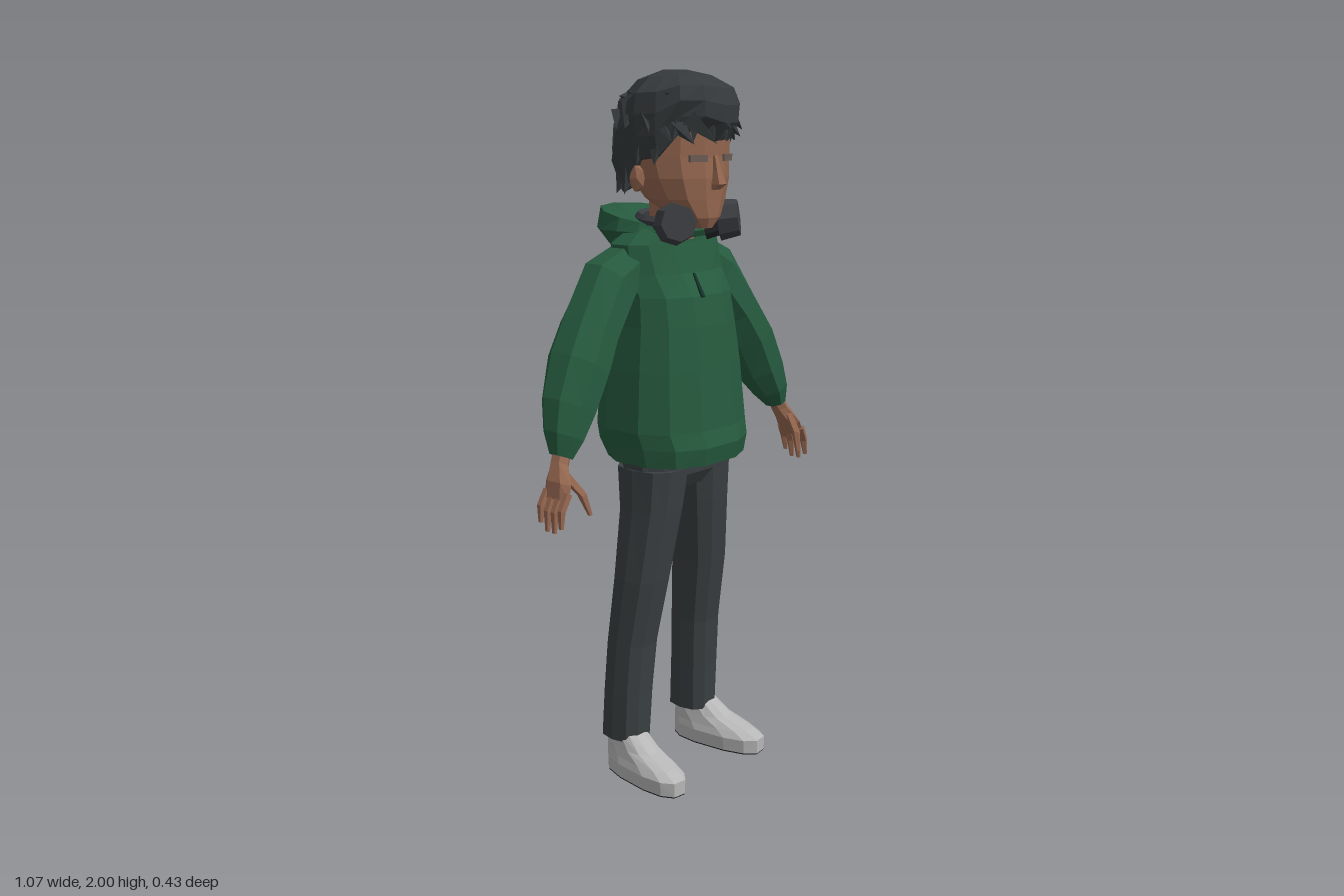
import * as THREE from 'three';

const mat = (name, color) => new THREE.MeshStandardMaterial({ name, color, flatShading: true });

// Small repeatable noise in -1..1
const noise = (i) => { const s = Math.sin(i * 127.1 + 3.7) * 43758.5453; return (s - Math.floor(s)) * 2 - 1; };

// Flip every triangle of a non-indexed geometry
function flip(geo) {
  const p = geo.attributes.position;
  const a = new THREE.Vector3(), b = new THREE.Vector3();
  for (let i = 0; i < p.count; i += 3) {
    a.fromBufferAttribute(p, i + 1); b.fromBufferAttribute(p, i + 2);
    p.setXYZ(i + 1, b.x, b.y, b.z); p.setXYZ(i + 2, a.x, a.y, a.z);
  }
  geo.computeVertexNormals();
  return geo;
}

const mirror = (geo) => {
  const g = geo.index ? geo.toNonIndexed() : geo.clone();
  return flip(g.scale(-1, 1, 1));
};

// Skin a list of rings; ends are capped, or joined when loop is true
function loft(rings, loop = false) {
  const out = [], n = rings[0].length, m = rings.length;
  const tri = (a, b, c) => out.push(...a.toArray(), ...b.toArray(), ...c.toArray());
  for (let j = 0; j < (loop ? m : m - 1); j++) {
    const r = rings[j], q = rings[(j + 1) % m];
    for (let i = 0; i < n; i++) {
      const k = (i + 1) % n;
      tri(r[i], r[k], q[k]); tri(r[i], q[k], q[i]);
    }
  }
  if (!loop) {
    const mid = (r) => r.reduce((s, p) => s.add(p), new THREE.Vector3()).divideScalar(n);
    const a = mid(rings[0]), b = mid(rings[m - 1]);
    for (let i = 0; i < n; i++) {
      const k = (i + 1) % n;
      tri(rings[0][k], rings[0][i], a); tri(rings[m - 1][i], rings[m - 1][k], b);
    }
  }
  const geo = new THREE.BufferGeometry();
  geo.setAttribute('position', new THREE.Float32BufferAttribute(out, 3));
  geo.computeVertexNormals();
  // Signed volume tells whether the skin faces outwards
  let vol = 0;
  const v = (i) => new THREE.Vector3().fromArray(out, i);
  for (let i = 0; i < out.length; i += 9) vol += v(i).dot(v(i + 3).cross(v(i + 6)));
  return vol < 0 ? flip(geo) : geo;
}

// Horizontal rings from rows of [y, centreX, halfWidth, zFront, zBack]
const stack = (rows, n = 12, power = 0.8) => loft(rows.map(([y, cx, rx, zf, zb]) =>
  Array.from({ length: n }, (_, i) => {
    const a = (i + 0.5) / n * Math.PI * 2, c = Math.cos(a), s = Math.sin(a);
    const e = (t) => Math.sign(t) * Math.abs(t) ** power;
    return new THREE.Vector3(cx + rx * e(s), y, (zf + zb) / 2 + (zf - zb) / 2 * e(c));
  })));

// Rings across a path from rows of [x, y, z, halfThickness, halfDepth]
const sweep = (rows, n = 8) => loft(rows.map(([x, y, z, ru, rw], j) => {
  const p = rows[Math.max(j - 1, 0)], q = rows[Math.min(j + 1, rows.length - 1)];
  const d = new THREE.Vector2(q[0] - p[0], q[1] - p[1]).normalize();
  return Array.from({ length: n }, (_, i) => {
    const a = (i + 0.5) / n * Math.PI * 2, u = ru * Math.cos(a);
    return new THREE.Vector3(x - d.y * u, y + d.x * u, z + rw * Math.sin(a));
  });
}));

export function createModel() {
  const green = mat('hoodieGreen', 0x265a3e), darkGreen = mat('cordGreen', 0x16352a);
  const grey = mat('trouserGrey', 0x3a3f41), black = mat('hairCharcoal', 0x35393b);
  const skin = mat('skin', 0x956750), eyeGrey = mat('eyeGrey', 0x6b5a54);
  const white = mat('shoeGrey', 0xb6b6b6), soleDark = mat('soleDark', 0x26292c);
  const phone = mat('headphoneGrey', 0x3b3d42);
  const model = new THREE.Group();
  const add = (name, geo, m, parent = model) => {
    const mesh = new THREE.Mesh(geo, m);
    mesh.name = name;
    parent.add(mesh);
    return mesh;
  };
  const both = (name, geo, m) => { add(name + 'Left', geo, m); add(name + 'Right', mirror(geo), m); };

  // Hoodie body with a gathered hem
  add('hoodieBody', stack([
    [0.94, 0, 0.195, 0.19, -0.145], [0.99, 0, 0.205, 0.2, -0.175], [1.035, 0, 0.215, 0.185, -0.175],
    [1.2, 0, 0.2, 0.17, -0.165], [1.32, 0, 0.185, 0.155, -0.155], [1.4, 0, 0.18, 0.138, -0.145],
    [1.46, 0, 0.185, 0.098, -0.135], [1.54, 0, 0.19, 0.07, -0.11], [1.585, 0, 0.13, 0.06, -0.08]]), green);

  // Sleeves, ending in tight cuffs
  both('sleeve', sweep([
    [0.14, 1.475, -0.03, 0.075, 0.07], [0.21, 1.435, -0.035, 0.09, 0.08], [0.3, 1.32, -0.025, 0.078, 0.09],
    [0.35, 1.24, -0.015, 0.08, 0.095], [0.405, 1.135, 0, 0.075, 0.08], [0.44, 1.065, 0.015, 0.055, 0.06],
    [0.46, 1.015, 0.025, 0.03, 0.035]]), green);

  // Hood hanging behind the neck: a collar that swells towards the back
  const hood = Array.from({ length: 14 }, (_, j) => {
    const t = j / 14 * Math.PI * 2, b = (1 - Math.cos(t)) / 2, k = b * b;
    const rad = 0.105 + 0.025 * k, thick = 0.022 + 0.045 * k, tall = 0.02 + 0.065 * k;
    return Array.from({ length: 6 }, (_, i) => {
      const a = i / 6 * Math.PI * 2;
      const r = rad + thick * Math.cos(a) + 0.025 * k * Math.sin(a);
      return new THREE.Vector3(r * Math.sin(t) * 1.05, 1.572 + tall * Math.sin(a) * (1 - 0.15 * k), r * Math.cos(t) * 0.88 - 0.015 - 0.035 * k);
    });
  });
  add('hood', loft(hood, true), green);

  // Drawstring end
  const cord = add('drawstring', new THREE.CylinderGeometry(0.004, 0.007, 0.07, 5), darkGreen);
  cord.position.set(-0.03, 1.43, 0.128);
  cord.rotation.x = -0.5;

  // Trousers
  add('hips', stack([[0.86, 0, 0.15, 0.09, -0.06], [0.9, 0, 0.178, 0.115, -0.085], [0.99, 0, 0.175, 0.125, -0.1]]), grey);
  both('trouserLeg', stack([
    [0.11, 0.15, 0.062, 0.03, -0.11], [0.25, 0.147, 0.065, 0.035, -0.1], [0.4, 0.14, 0.068, 0.045, -0.09],
    [0.6, 0.125, 0.074, 0.08, -0.073], [0.8, 0.1, 0.082, 0.105, -0.07], [0.92, 0.09, 0.09, 0.118, -0.085]], 10), grey);

  // Shoes with dark undersides, toes turned out
  const turn = (g) => g.rotateY(0.13).translate(0.16, 0, 0);
  both('shoe', turn(stack([
    [0.004, 0, 0.057, 0.205, -0.1], [0.045, 0, 0.061, 0.205, -0.1], [0.065, 0, 0.055, 0.165, -0.1],
    [0.09, 0, 0.05, 0.09, -0.098], [0.13, 0, 0.043, 0.03, -0.09]])), white);
  both('sole', turn(stack([[0, 0, 0.056, 0.203, -0.1], [0.005, 0, 0.057, 0.205, -0.1]])), soleDark);

  // Hands: palm, four fingers and a thumb
  both('palm', sweep([
    [0.452, 1.04, 0.025, 0.024, 0.026], [0.472, 1.0, 0.032, 0.022, 0.03],
    [0.495, 0.955, 0.05, 0.022, 0.046], [0.508, 0.915, 0.055, 0.014, 0.044]], 6), skin);
  [0.015, 0.04, 0.065, 0.09].forEach((z, i) => {
    const drop = [0.02, 0, 0, 0.015][i];
    both('finger' + (i + 1), sweep([
      [0.503, 0.935, z + 0.003, 0.012, 0.012], [0.525, 0.885 + drop / 2, z, 0.011, 0.012],
      [0.53, 0.832 + drop, z + 0.003, 0.006, 0.007]], 5), skin);
  });
  both('thumb', sweep([
    [0.485, 0.98, 0.06, 0.014, 0.016], [0.465, 0.93, 0.105, 0.012, 0.014], [0.453, 0.875, 0.122, 0.006, 0.007]], 5), skin);

  // Head, neck, nose, ears and eyes
  add('neck', stack([[1.52, 0, 0.06, 0.07, -0.06], [1.68, 0, 0.058, 0.075, -0.065]], 8, 1), skin);
  add('head', stack([
    [1.582, 0, 0.03, 0.142, 0.07], [1.61, 0, 0.065, 0.155, 0.03], [1.66, 0, 0.108, 0.158, -0.05],
    [1.715, 0, 0.132, 0.163, -0.095], [1.77, 0, 0.14, 0.16, -0.115], [1.85, 0, 0.14, 0.165, -0.12],
    [1.93, 0, 0.1, 0.12, -0.08]], 12, 0.9), skin);
  add('nose', stack([
    [1.685, 0, 0.018, 0.17, 0.14], [1.7, 0, 0.022, 0.193, 0.14], [1.735, 0, 0.013, 0.178, 0.14],
    [1.775, 0, 0.008, 0.165, 0.14]], 4, 1), skin);
  both('ear', new THREE.IcosahedronGeometry(1, 0).scale(0.018, 0.04, 0.026).translate(0.146, 1.715, 0.01), skin);
  both('eye', new THREE.BoxGeometry(0.055, 0.018, 0.008).rotateY(0.3).translate(0.06, 1.768, 0.15), eyeGrey);

  // Hair cap, short over the face and long at the nape
  const N = 16, hair = new THREE.Group();
  hair.name = 'hair';
  model.add(hair);
  const rim = (f) => (f > 0.45 ? 1.825 : f > -0.2 ? 1.765 : 1.685);
  const bands = [[0, 0.9], [0.25, 1.02], [0.5, 1.04], [0.74, 0.93], [0.92, 0.62], [1, 0.2]];
  add('hairCap', loft(bands.map(([t, r], j) => Array.from({ length: N }, (_, i) => {
    const a = i / N * Math.PI * 2, f = Math.cos(a), k = r * (1 + 0.05 * noise(j * 31 + i));
    const y0 = rim(f) + 0.012 * noise(i + 5);
    return new THREE.Vector3(Math.sin(a) * k * 0.165, y0 + (1.997 - y0) * t, 0.018 + f * k * 0.165);
  }))), black);

  // Pointed locks around the rim and over the crown
  const up = new THREE.Vector3(0, 1, 0);
  const lock = (a, y, r, len, fall, swing, wide) => {
    const dir = new THREE.Vector3(Math.sin(a + swing), fall, Math.cos(a + swing)).normalize();
    const m = add('lock', new THREE.ConeGeometry(wide, len, 4), black, hair);
    m.position.set(Math.sin(a) * r, y, 0.018 + Math.cos(a) * r);
    m.quaternion.setFromUnitVectors(up, dir);
  };
  for (let i = 0; i < 18; i++) {
    const a = (i + 0.5) / 18 * Math.PI * 2;
    lock(a, rim(Math.cos(a)) + 0.025, 0.146, 0.085, -2.2, 0.5 * noise(i), 0.036);
    lock(a + 0.15, 1.85 + 0.035 * noise(i + 40), 0.155, 0.1, -0.9, 0.9 + 0.3 * noise(i + 9), 0.034);
  }
  for (let i = 0; i < 11; i++) lock(i / 11 * Math.PI * 2, 1.93 + 0.012 * noise(i), 0.128, 0.1, 0.05, 0.9 + 0.3 * noise(i + 70), 0.034);

  // Headphones resting round the neck
  const cup = (r, h, off) => new THREE.CylinderGeometry(r * 0.85, r, h, 8)
    .translate(0, off, 0).rotateX(Math.PI / 2).rotateY(0.6).rotateX(-0.15).translate(0.098, 1.597, 0.1);
  both('earCup', cup(0.058, 0.055, 0.022), phone);
  both('earCushion', cup(0.05, 0.04, -0.025), soleDark);
  const band = new THREE.CatmullRomCurve3([[0.115, 1.6, 0.08], [0.11, 1.605, 0], [0, 1.61, -0.09], [-0.11, 1.605, 0], [-0.115, 1.6, 0.08]]
    .map((p) => new THREE.Vector3(...p)));
  add('headband', new THREE.TubeGeometry(band, 14, 0.014, 5), phone);

  return model;
}
